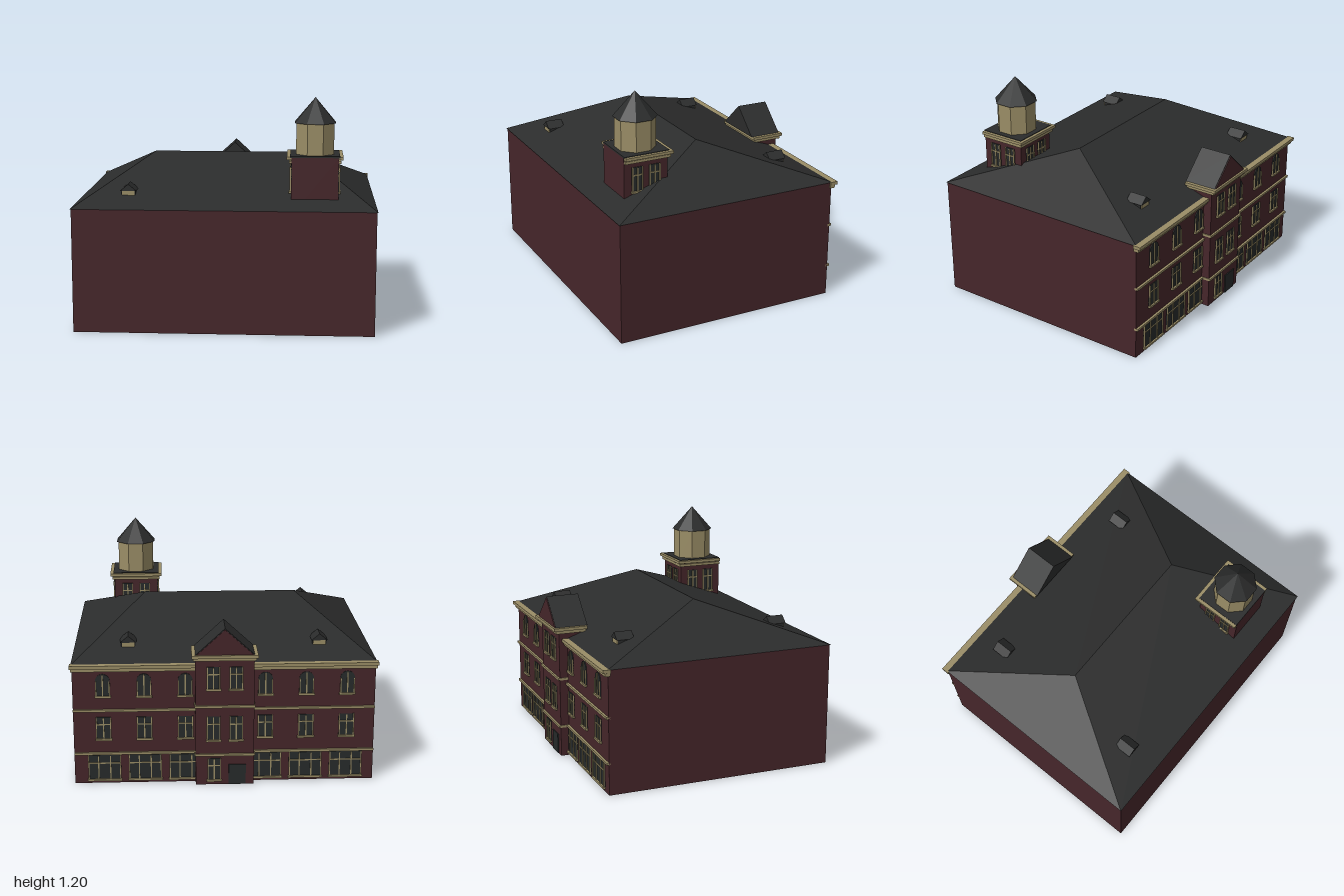
import * as THREE from 'three';

const material = (name, color) => {
  const m = new THREE.MeshStandardMaterial({ color });
  m.name = name;
  return m;
};

export function createModel() {
  const brick = material('brick', 0x46262a);
  const slate = material('slate', 0x2b2c2c);
  const stone = material('stone trim', 0x9a8d66);
  const glass = material('window glass', 0x272b2b);

  const add = (parent, name, geo, mat, x = 0, y = 0, z = 0) => {
    const mesh = new THREE.Mesh(geo, mat);
    mesh.name = name;
    mesh.position.set(x, y, z);
    parent.add(mesh);
    return mesh;
  };
  // Box given by its ranges along each axis
  const block = (parent, name, mat, x0, x1, y0, y1, z0, z1) =>
    add(parent, name, new THREE.BoxGeometry(x1 - x0, y1 - y0, z1 - z0), mat,
      (x0 + x1) / 2, (y0 + y1) / 2, (z0 + z1) / 2);
  const group = (parent, name, x = 0, y = 0, z = 0, turn = 0) => {
    const g = new THREE.Group();
    g.name = name;
    g.position.set(x, y, z);
    g.rotation.y = turn;
    parent.add(g);
    return g;
  };
  // Triangular prism with its ridge along z
  const prism = (parent, name, mat, half, y0, y1, z0, z1) => {
    const s = new THREE.Shape();
    s.moveTo(-half, y0);
    s.lineTo(half, y0);
    s.lineTo(0, y1);
    return add(parent, name,
      new THREE.ExtrudeGeometry(s, { depth: z1 - z0, bevelEnabled: false }), mat, 0, 0, z0);
  };

  // Window facing +z; origin at the middle of its foot
  const addWindow = (parent, x, y, z, w, h, { arched = false, mullions = [0], transom = 0.68 } = {}) => {
    const g = group(parent, 'window', x, y, z);
    const r = w / 2, t = 0.006, side = arched ? h - r : h;
    const s = new THREE.Shape();
    s.moveTo(-r, 0);
    s.lineTo(r, 0);
    s.lineTo(r, side);
    if (arched) s.absarc(0, side, r, 0, Math.PI, false);
    else s.lineTo(-r, h);
    add(g, 'pane', new THREE.ExtrudeGeometry(s, { depth: 0.004, bevelEnabled: false, curveSegments: 8 }), glass);
    for (const k of [-1, 1]) block(g, 'jamb', stone, k * (r - t / 2) - t / 2, k * (r - t / 2) + t / 2, 0, side, 0, 0.009);
    for (const m of mullions) block(g, 'mullion', stone, m * w - t / 2, m * w + t / 2, 0, h - 0.004, 0, 0.009);
    if (!arched) block(g, 'transom', stone, -r, r, h * transom - 0.003, h * transom + 0.003, 0, 0.008);
    block(g, 'sill', stone, -r - 0.004, r + 0.004, -0.006, 0.004, 0, 0.013);
  };

  const model = new THREE.Group();
  model.name = 'townBuilding';
  // The building stands turned on its plot; its own +z is the street facade
  const b = group(model, 'building', -0.008, 0, 0.008, THREE.MathUtils.degToRad(125));
  const L = 0.774, W = 0.607, eave = 0.644, ridge = 0.862;

  block(b, 'walls', brick, -L, L, 0, eave, -W, W);

  // Hipped roof
  const rx = L + 0.005, rz = W + 0.005;
  const hip = new THREE.BufferGeometry();
  hip.setAttribute('position', new THREE.Float32BufferAttribute([
    -rx, eave, -rz, rx, eave, -rz, rx, eave, rz, -rx, eave, rz,
    -0.407, ridge, 0, 0.407, ridge, 0], 3));
  hip.setIndex([3, 2, 5, 3, 5, 4, 1, 0, 4, 1, 4, 5, 2, 1, 5, 0, 3, 4, 0, 1, 2, 0, 2, 3]);
  const hipFlat = hip.toNonIndexed();
  hipFlat.computeVertexNormals();
  add(b, 'mainRoof', hipFlat, slate);

  // Facade cornice and string courses
  block(b, 'cornice', stone, -0.785, 0.785, 0.63, 0.647, W - 0.01, W + 0.03);
  block(b, 'corniceLower', stone, -0.78, 0.78, 0.612, 0.628, W - 0.01, W + 0.018);
  for (const y of [0.165, 0.4]) block(b, 'stringCourse', stone, -L, L, y - 0.006, y + 0.006, W - 0.01, W + 0.012);

  // Facade windows, three columns on each side of the bay
  for (const x of [-0.62, -0.41, -0.2, 0.21, 0.42, 0.63]) {
    addWindow(b, x, 0.475, W, 0.075, 0.12, { arched: true });
    addWindow(b, x, 0.243, W, 0.08, 0.12);
    addWindow(b, x, 0.02, W, 0.17, 0.135, { mullions: [-0.18, 0.18] });
  }

  // Projecting entrance bay
  const bay = group(b, 'entranceBay');
  const front = 0.652;
  block(bay, 'bayWalls', brick, -0.15, 0.15, 0, 0.7, 0.51, front);
  for (const y of [0.165, 0.428]) block(bay, 'bayString', stone, -0.155, 0.155, y - 0.006, y + 0.006, 0.59, front + 0.01);
  for (const x of [-0.058, 0.058]) {
    addWindow(bay, x, 0.52, front, 0.07, 0.12);
    addWindow(bay, x, 0.245, front, 0.07, 0.13);
  }
  addWindow(bay, -0.055, 0.025, front, 0.07, 0.12);
  block(bay, 'door', glass, 0.02, 0.108, 0.002, 0.11, front - 0.002, front + 0.006);
  block(bay, 'bayCornice', stone, -0.168, 0.168, 0.692, 0.708, 0.5, 0.682);
  block(bay, 'bayCorniceLower', stone, -0.16, 0.16, 0.676, 0.69, 0.505, 0.67);
  prism(bay, 'bayRoof', slate, 0.15, 0.708, 0.846, 0.494, 0.668);
  prism(bay, 'pediment', brick, 0.144, 0.708, 0.84, 0.66, 0.672);

  // Small roof vents
  for (const [x, turn] of [[-0.49, 0], [0.498, 0], [-0.498, Math.PI]]) {
    const v = group(b, 'roofVent', turn ? 0.498 : x, 0, 0, turn);
    block(v, 'ventBody', slate, -0.036, 0.036, 0.67, 0.72, 0.39, 0.465);
    block(v, 'louvre', stone, -0.032, 0.032, 0.694, 0.718, 0.463, 0.47);
    prism(v, 'ventRoof', slate, 0.042, 0.718, 0.753, 0.38, 0.474);
  }

  // Corner tower
  const t = group(b, 'tower', -0.461, 0, -0.373);
  const h = 0.12;
  block(t, 'towerWalls', brick, -h, h, 0.6, 0.9, -h, h);
  for (const turn of [0, Math.PI / 2, -Math.PI / 2]) {
    const face = group(t, 'towerFace', 0, 0, 0, turn);
    for (const x of [-0.048, 0.048]) addWindow(face, x, 0.715, h, 0.06, 0.13);
  }
  block(t, 'towerCornice', stone, -0.144, 0.144, 0.89, 0.905, -h + 0.001, 0.144);
  block(t, 'towerCorniceLower', stone, -0.133, 0.133, 0.87, 0.884, -h + 0.001, 0.133);
  block(t, 'towerDeck', slate, -0.127, 0.127, 0.9, 0.908, -h, 0.127);

  // Eight-sided lantern with a pointed roof
  const eight = (geo) => {
    geo.rotateY(Math.PI / 8);
    const g = geo.toNonIndexed();
    g.computeVertexNormals();
    return g;
  };
  add(t, 'lantern', eight(new THREE.CylinderGeometry(0.105, 0.105, 0.165, 8)), stone, 0, 0.9875, 0);
  add(t, 'lanternRoof', eight(new THREE.ConeGeometry(0.114, 0.13, 8)), slate, 0, 1.133, 0);

  return model;
}
